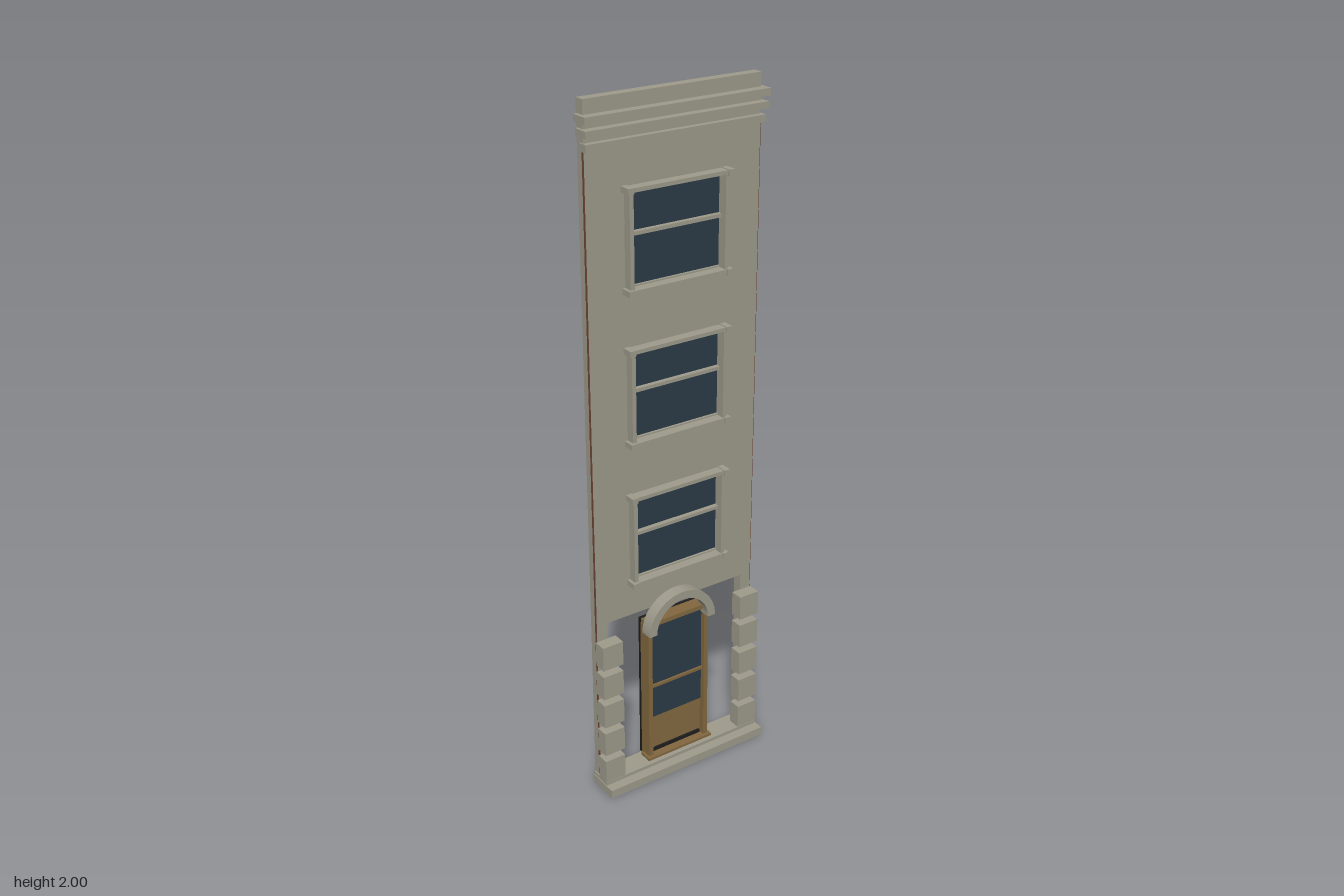
import * as THREE from 'three';

const mat = (name, color) => {
  const m = new THREE.MeshStandardMaterial({ color });
  m.name = name;
  return m;
};

export function createModel() {
  const stone = mat('stone', 0x9e9a8b);
  const wood = mat('wood', 0x82683f);
  const glass = mat('glass', 0x2d3b46);
  const black = mat('black', 0x1e1d1e);
  const brick = mat('brick', 0x6e4535);
  const model = new THREE.Group();
  model.name = 'townhouseFacade';

  // Box given by its extents on each axis
  const box = (name, m, x0, x1, y0, y1, z0, z1, parent = model) => {
    const mesh = new THREE.Mesh(new THREE.BoxGeometry(x1 - x0, y1 - y0, z1 - z0), m);
    mesh.position.set((x0 + x1) / 2, (y0 + y1) / 2, (z0 + z1) / 2);
    mesh.name = name;
    parent.add(mesh);
    return mesh;
  };
  const extrude = (name, m, shape, z0, depth) => {
    const geo = new THREE.ExtrudeGeometry(shape, { depth, bevelEnabled: false, curveSegments: 20 });
    const mesh = new THREE.Mesh(geo, m);
    mesh.position.z = z0;
    mesh.name = name;
    model.add(mesh);
  };
  const sills = [0.645, 1.07, 1.495];

  // Wall: legs beside the ground floor opening, and window holes
  const wall = new THREE.Shape([
    [-0.264, 0], [-0.23, 0], [-0.23, 0.545], [0.23, 0.545],
    [0.23, 0], [0.264, 0], [0.264, 2], [-0.264, 2],
  ].map(([x, y]) => new THREE.Vector2(x, y)));
  for (const y of sills) {
    wall.holes.push(new THREE.Path([
      [-0.142, y + 0.018], [-0.142, y + 0.262], [0.142, y + 0.262], [0.142, y + 0.018],
    ].map(([x, v]) => new THREE.Vector2(x, v))));
  }
  extrude('wall', stone, wall, -0.044, 0.029);

  // Plinth and cornice
  box('plinth', stone, -0.27, 0.27, 0, 0.026, -0.043, 0.054);
  box('plinthStep', stone, -0.268, 0.268, 0.026, 0.036, -0.043, 0.024);
  box('corniceTop', stone, -0.275, 0.275, 1.944, 1.963, -0.04, 0.012);
  box('corniceMiddle', stone, -0.272, 0.272, 1.911, 1.929, -0.037, 0.009);
  box('corniceBottom', stone, -0.268, 0.268, 1.875, 1.895, -0.03, 0.002);

  // Side strips and corner blocks, mirrored
  for (const s of [-1, 1]) {
    const strip = box('sideStrip', brick, -0.001, 0.001, 0.036, 1.875, -0.021, -0.015);
    strip.position.x = s * 0.2645;
    for (let i = 0; i < 5; i++) {
      const block = box('cornerBlock', stone, -0.0325, 0.0325, 0, 0.075, -0.016, 0.023);
      block.position.x = s * 0.2355;
      block.position.y = 0.0715 + i * 0.0965;
    }
  }

  // Windows
  for (const y of sills) {
    const g = new THREE.Group();
    g.name = 'window';
    g.position.y = y;
    model.add(g);
    box('backPanel', black, -0.15, 0.15, 0.01, 0.275, -0.052, -0.044, g);
    box('pane', glass, -0.142, 0.142, 0.018, 0.262, -0.03, -0.022, g);
    box('meetingRail', stone, -0.142, 0.142, 0.15, 0.16, -0.024, -0.008, g);
    for (const v of [0, 0.264]) {
      box('ledge', stone, -0.15, 0.15, v + 0.003, v + 0.014, -0.015, 0.014, g);
      for (const s of [-1, 1]) {
        box('ledgeEnd', stone, s * 0.152 - 0.009, s * 0.152 + 0.009, v, v + 0.016, -0.015, 0.019, g);
      }
    }
    for (const s of [-1, 1]) {
      box('jamb', stone, s * 0.146 - 0.006, s * 0.146 + 0.006, 0.014, 0.267, -0.016, 0.01, g);
    }
  }

  // Door
  box('doorBack', black, -0.1, 0.1, 0.03, 0.498, -0.056, -0.04);
  box('doorLeaf', wood, -0.094, 0.094, 0.036, 0.495, -0.04, -0.018);
  box('doorPane', glass, -0.09, 0.09, 0.168, 0.488, -0.018, -0.014);
  box('doorRail', wood, -0.09, 0.09, 0.274, 0.283, -0.018, -0.008);
  box('kickPlate', black, -0.085, 0.085, 0.046, 0.056, -0.018, -0.012);
  box('threshold', wood, -0.112, 0.112, 0.03, 0.044, -0.03, 0.01);
  box('doorHead', wood, -0.102, 0.102, 0.488, 0.502, -0.04, 0);
  for (const s of [-1, 1]) {
    box('doorJamb', wood, s * 0.097 - 0.007, s * 0.097 + 0.007, 0.036, 0.49, -0.04, 0);
  }

  // Arch over the door
  const arch = new THREE.Shape();
  arch.absarc(0, 0.472, 0.113, 0, Math.PI, false);
  arch.absarc(0, 0.472, 0.088, Math.PI, 0, true);
  extrude('doorArch', stone, arch, -0.016, 0.038);

  return model;
}
